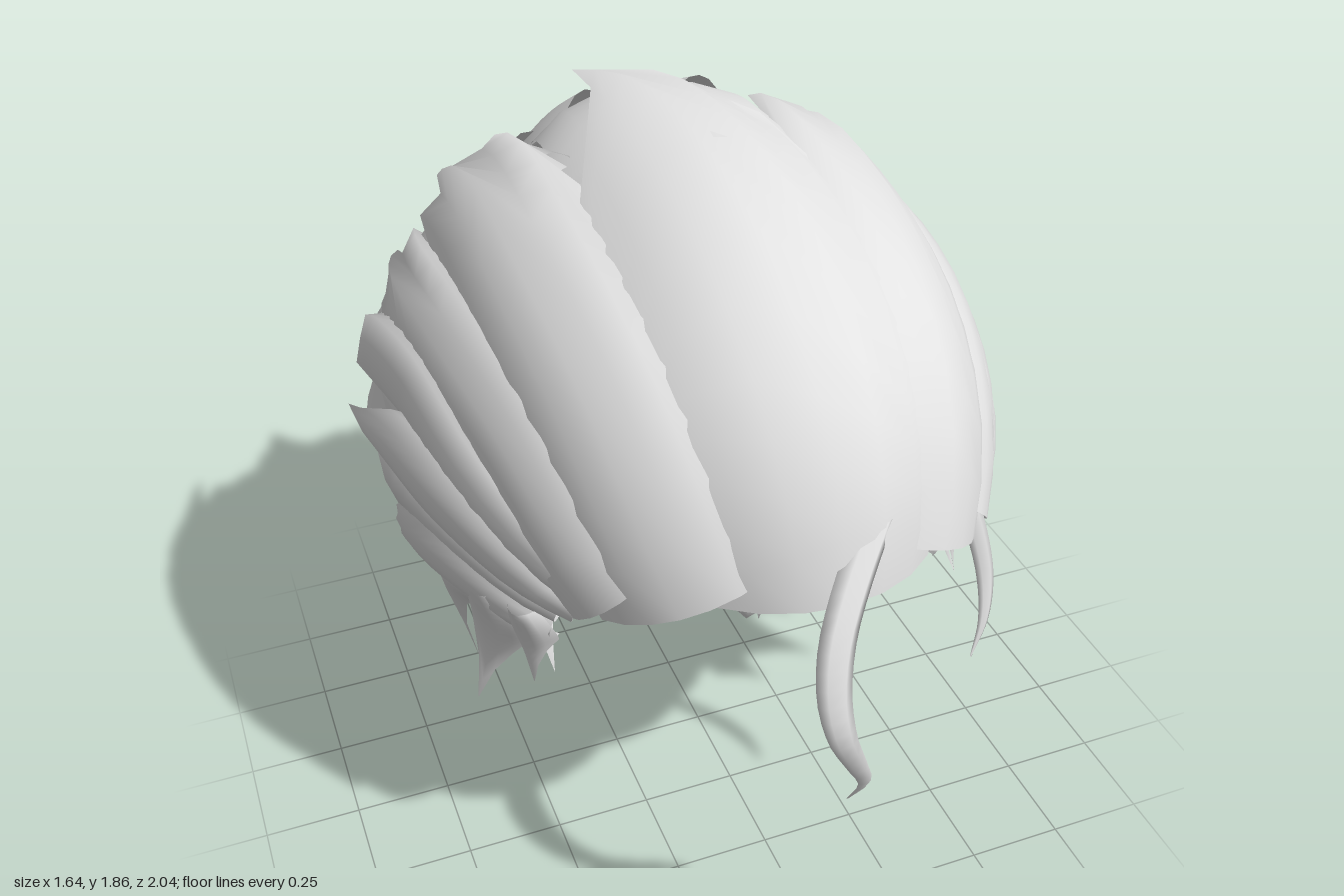
import * as THREE from 'three';

const V = (x, y, z) => new THREE.Vector3(x, y, z);
const CENTRE = V(0, 0.95, -0.2);
const UP = 0.81, WIDE = 0.74, FRONT = 1.04, BACK = 0.67;

// Size of the head-shaped hull at a height above or below its centre
function section(dy) {
  if (dy >= 0) {
    const q = Math.min(dy / UP, 1);
    const round = Math.sqrt(1 - q * q);
    return { w: WIDE * round, f: FRONT * Math.pow(1 - Math.pow(q, 2.4), 1 / 2.4), b: BACK * round };
  }
  const t = -dy / 0.95;
  const s = Math.max(0.3, 1 - 0.6 * Math.pow(t, 1.35));
  return { w: WIDE * s, f: FRONT * s, b: BACK * Math.max(0.25, 1 - 0.72 * Math.pow(t, 1.55)) };
}

// Hull point at an angle (0 = front) and height
function hull(a, y) {
  const s = section(y - CENTRE.y), c = Math.cos(a);
  return V(s.w * Math.sin(a), y, CENTRE.z + (c > 0 ? s.f : s.b) * c);
}

// Push a point radially onto the hull, plus an offset
function onHull(p, offset) {
  const d = p.clone().sub(CENTRE).normalize();
  let lo = 0.05, hi = 1.6;
  for (let i = 0; i < 24; i++) {
    const m = (lo + hi) / 2, s = section(d.y * m);
    const x = (d.x * m) / (s.w + 1e-6), z = (d.z * m) / ((d.z > 0 ? s.f : s.b) + 1e-6);
    if (d.y * m < UP && x * x + z * z < 1) lo = m; else hi = m;
  }
  return d.multiplyScalar(lo + offset).add(CENTRE);
}

function surface(rows, cols, at, wrap = false) {
  const pos = [], idx = [];
  for (let i = 0; i <= rows; i++) for (let j = 0; j <= cols; j++) pos.push(...at(i / rows, j / cols, j).toArray());
  for (let i = 0; i < rows; i++) for (let j = 0; j < cols; j++) {
    const n = cols + 1, a = i * n + j, b = i * n + (wrap ? (j + 1) % cols : j + 1);
    idx.push(a, b, a + n, b, b + n, a + n);
  }
  const g = new THREE.BufferGeometry();
  g.setAttribute('position', new THREE.Float32BufferAttribute(pos, 3));
  g.setIndex(idx);
  g.computeVertexNormals();
  return g;
}

// A lock: a domed sheet that follows guide points and ends in pointed prongs
function lock(guides, { width, prongs = 1, lift = 0.01, dome = 0.03, flare = 0.05, notch = 0.14, tuck = 0, start = 0.5 }) {
  const curve = new THREE.CatmullRomCurve3(guides);
  return surface(12, prongs === 1 ? 6 : prongs * 2, (t, k, j) => {
    const u = k * 2 - 1;
    const end = 1 - (prongs === 1 ? 0.5 : 0.22) * Math.abs(u) - (prongs > 1 && j % 2 === 0 ? notch : 0);
    const s = t * end;
    const p = curve.getPoint(s), T = curve.getTangent(s);
    const N = p.clone().sub(CENTRE).normalize();
    const S = T.cross(N).normalize();
    const taper = prongs === 1 ? 1 - 0.75 * Math.pow(s, 4) : 1 - 0.3 * s * s;
    const w = width * (start + (1 - start) * Math.sin(Math.min(1, s * 1.8) * Math.PI / 2)) * taper;
    p.addScaledVector(S, w * u);
    const rib = prongs > 1 && j % 2 ? 0.008 * t : 0;
    return onHull(p, lift + dome * (1 - u * u) - 0.02 * u * u + rib + flare * s ** 4 - tuck * (1 - s) ** 4);
  });
}

// A free-hanging tapered strand
function strand(points, radius) {
  const curve = new THREE.CatmullRomCurve3(points);
  return surface(20, 6, (t, k) => {
    const r = radius * (1 - 0.93 * t * t), a = -k * Math.PI * 2;
    return curve.getPoint(t).add(V(r * Math.cos(a), 0, 0.4 * r * Math.sin(a)));
  }, true);
}

export function createModel() {
  const group = new THREE.Group();
  group.name = 'hair';
  const hair = new THREE.MeshStandardMaterial({ color: 0xe2e2e2, side: THREE.DoubleSide });
  hair.name = 'pale grey hair';
  const add = (name, g) => {
    const m = new THREE.Mesh(g, hair);
    m.name = name;
    group.add(m);
  };
  const pair = (name, pts, o) => {
    for (const s of [1, -1]) add(name + (s > 0 ? 'Left' : 'Right'), lock(pts.map(([x, y, z]) => V(x * s, y, z)), o));
  };

  // Inner cap, open at the face
  const hairline = [[0, 1.12], [35, 1.08], [43, 0.99], [55, 0.8], [68, 0.7], [80, 0.66], [92, 0.45], [110, 0.28], [180, 0.22]];
  const edge = (deg) => {
    let i = 1;
    while (i < hairline.length - 1 && hairline[i][0] < deg) i++;
    const [a0, y0] = hairline[i - 1], [a1, y1] = hairline[i];
    return y0 + (y1 - y0) * (deg - a0) / (a1 - a0);
  };
  add('innerCap', surface(14, 72, (t, k) => {
    const a = k * Math.PI * 2, deg = 180 - Math.abs(180 - k * 360);
    const low = edge(deg), y = low + (CENTRE.y + UP - low) * Math.sin(t * Math.PI / 2);
    const ripple = 0.92 + 0.025 * Math.cos(a * 12) * (1 - t) * Math.cos(t * 9);
    return hull(a, y).sub(CENTRE).multiplyScalar(ripple).add(CENTRE);
  }, true));

  // Big swept-back locks over the top
  add('topLock', lock([V(0, 1.08, 0.84), V(0, 1.5, 0.68), V(0, 1.78, 0.15), V(-0.03, 1.78, -0.25), V(-0.12, 1.74, -0.57)],
    { width: 0.42, lift: 0.01, dome: 0.025, flare: 0.08, start: 0.65 }));
  add('crownBackLock', lock([V(0, 1.76, 0), V(0.02, 1.74, -0.35), V(0.04, 1.56, -0.62), V(0.02, 1.36, -0.74)],
    { width: 0.34, prongs: 3, lift: 0.01, dome: 0.03, flare: 0.04, start: 1 }));
  pair('crownLock', [[0.33, 1.06, 0.74], [0.44, 1.45, 0.48], [0.48, 1.62, 0.05], [0.44, 1.58, -0.35], [0.46, 1.46, -0.66]],
    { width: 0.26, prongs: 3, lift: 0.01, flare: 0.07, dome: 0.025, start: 0.8 });
  pair('templeLock', [[0.46, 1.03, 0.63], [0.6, 1.3, 0.35], [0.68, 1.4, 0], [0.65, 1.36, -0.35], [0.57, 1.26, -0.66]],
    { width: 0.2, prongs: 3, lift: 0.01, flare: 0.07, dome: 0.022, start: 0.7 });

  // Curved locks down each side
  pair('sideLockA', [[0.48, 1.01, 0.58], [0.64, 1.17, 0.25], [0.72, 1.26, -0.05], [0.72, 1.22, -0.3], [0.68, 1.1, -0.5]],
    { width: 0.15, prongs: 2, lift: 0.02, flare: 0.07, tuck: 0.04 });
  pair('sideLockB', [[0.5, 0.95, 0.53], [0.68, 1.07, 0.2], [0.76, 1.09, -0.08], [0.78, 1.0, -0.4]],
    { width: 0.14, lift: 0.03, flare: 0.05, tuck: 0.06 });
  pair('sideLockC', [[0.55, 0.86, 0.47], [0.68, 0.96, 0.2], [0.75, 0.94, -0.1], [0.72, 0.78, -0.38], [0.62, 0.66, -0.6]],
    { width: 0.15, prongs: 2, lift: 0.015, flare: 0.06, tuck: 0.07 });
  pair('sideLockD', [[0.55, 0.76, 0.42], [0.68, 0.84, 0.15], [0.72, 0.77, -0.12], [0.66, 0.57, -0.42]],
    { width: 0.15, lift: 0.03, flare: 0.06, tuck: 0.07 });
  pair('sideLockE', [[0.56, 0.7, 0.37], [0.67, 0.74, 0.1], [0.64, 0.6, -0.1], [0.57, 0.3, -0.13]],
    { width: 0.12, lift: 0.01, flare: 0.09, tuck: 0.05 });
  pair('earSpike', [[0.66, 0.86, 0.25], [0.66, 0.7, 0.23], [0.65, 0.49, 0.2]], { width: 0.14, flare: 0.13 });
  pair('cheekSpike', [[0.6, 0.86, 0.37], [0.6, 0.75, 0.37], [0.57, 0.63, 0.38]], { width: 0.1, lift: -0.01, flare: 0.05 });

  // Short ragged fringe along the face opening
  for (let i = -9; i <= 9; i++) {
    const a = i * 0.088, low = 1.07 - 0.04 * Math.abs(i % 2) - 0.0009 * i * i;
    add('fringeTip', lock([hull(a, low + 0.13), hull(a, low + 0.07), hull(a, low)],
      { width: 0.075, lift: -0.025, dome: 0.012, flare: -0.03, start: 1 }));
  }
  for (const s of [1, -1]) for (let i = 0; i < 6; i++) {
    const a = s * (0.74 + i * 0.075), low = 0.98 - i * 0.05;
    add('faceEdgeTip', lock([hull(a + s * 0.2, low + 0.14), hull(a + s * 0.08, low + 0.07), hull(a, low)],
      { width: 0.07, lift: -0.03, dome: 0.02, flare: -0.06 }));
  }

  // Layered rows down the back: height, length, count, half spread, width, flare
  const rows = [
    [1.56, 0.44, 5, 1.2, 0.22, 0.05], [1.36, 0.42, 6, 1.35, 0.2, 0.07],
    [1.14, 0.38, 7, 1.4, 0.17, 0.07], [0.94, 0.32, 8, 1.4, 0.15, 0.06], [0.76, 0.3, 9, 1.4, 0.12, 0.06],
    [0.59, 0.27, 10, 1.4, 0.1, 0.055],
  ];
  rows.forEach(([y, len, count, spread, width, flare], r) => {
    for (let i = 0; i < count; i++) {
      const k = (i / (count - 1)) * 2 - 1, a = Math.PI + k * spread;
      const wob = Math.sin(i * 2.4 + r * 1.7), y0 = y + 0.03 * wob, drop = len * (1 + 0.12 * wob);
      const lean = -0.14 * k + 0.07 * wob;
      add('backLock', lock([hull(a, y0), hull(a + lean * 0.4, y0 - drop * 0.5), hull(a + lean, y0 - drop)],
        { width, prongs: (i + r) % 3 ? 3 : 2, lift: 0, flare, notch: 0.2, dome: 0.03, start: 0.8 }));
    }
  });

  // Spikes that stand off the back
  const spike = (pts, width, flare) =>
    add('backSpike', lock(pts.map((p) => V(...p)), { width, flare, dome: 0.045 }));
  spike([[-0.1, 1.66, -0.5], [-0.15, 1.52, -0.68], [-0.18, 1.36, -0.8]], 0.17, 0.12);
  spike([[0.16, 1.7, -0.42], [0.16, 1.6, -0.56], [0.14, 1.5, -0.66]], 0.15, 0.06);
  spike([[-0.15, 1.34, -0.75], [-0.2, 1.14, -0.85], [-0.2, 0.94, -0.88]], 0.18, 0.15);
  spike([[0.05, 1.34, -0.78], [0.04, 1.13, -0.86], [0.03, 0.94, -0.88]], 0.18, 0.1);
  pair('rearSpike', [[0.4, 1.5, -0.55], [0.42, 1.3, -0.7], [0.4, 1.1, -0.76]], { width: 0.15, flare: 0.06 });

  // Pointed, pleated nape: tip position, width and flare
  for (const [x, y, z, w, flare] of [[0.1, 0.05, -0.43, 0.11, 0.03], [0.04, 0.13, -0.46, 0.08, 0.02], [0.18, 0.1, -0.44, 0.1, 0.05],
    [0.3, 0.06, -0.32, 0.13, 0.1], [0.43, 0.2, -0.38, 0.13, 0.1], [0.53, 0.16, -0.34, 0.13, 0.14], [0.57, 0.29, -0.12, 0.12, 0.12],
    [0.22, 0.18, -0.5, 0.12, 0.05], [0.38, 0.27, -0.48, 0.12, 0.06]]) {
    pair('napeLock', [[x * 1.2, 0.54, z * 1.25], [x * 1.1, 0.3, z * 1.1], [x, y, z]], { width: w, lift: -0.01, flare, start: 0.9 });
  }

  // Loose strands in front of the face
  add('foreheadStrand', strand([V(0.09, 1.24, 0.8), V(0.01, 1.14, 0.87), V(-0.045, 1.04, 0.925), V(-0.065, 0.93, 0.965), V(-0.05, 0.82, 0.985),
    V(0, 0.7, 0.965), V(0.045, 0.59, 0.93), V(0.03, 0.5, 0.885)], 0.05));
  add('templeStrand', strand([V(0.42, 1.1, 0.6), V(0.455, 1.0, 0.62), V(0.485, 0.85, 0.65), V(0.475, 0.74, 0.68), V(0.44, 0.65, 0.7)], 0.03));

  return group;
}
